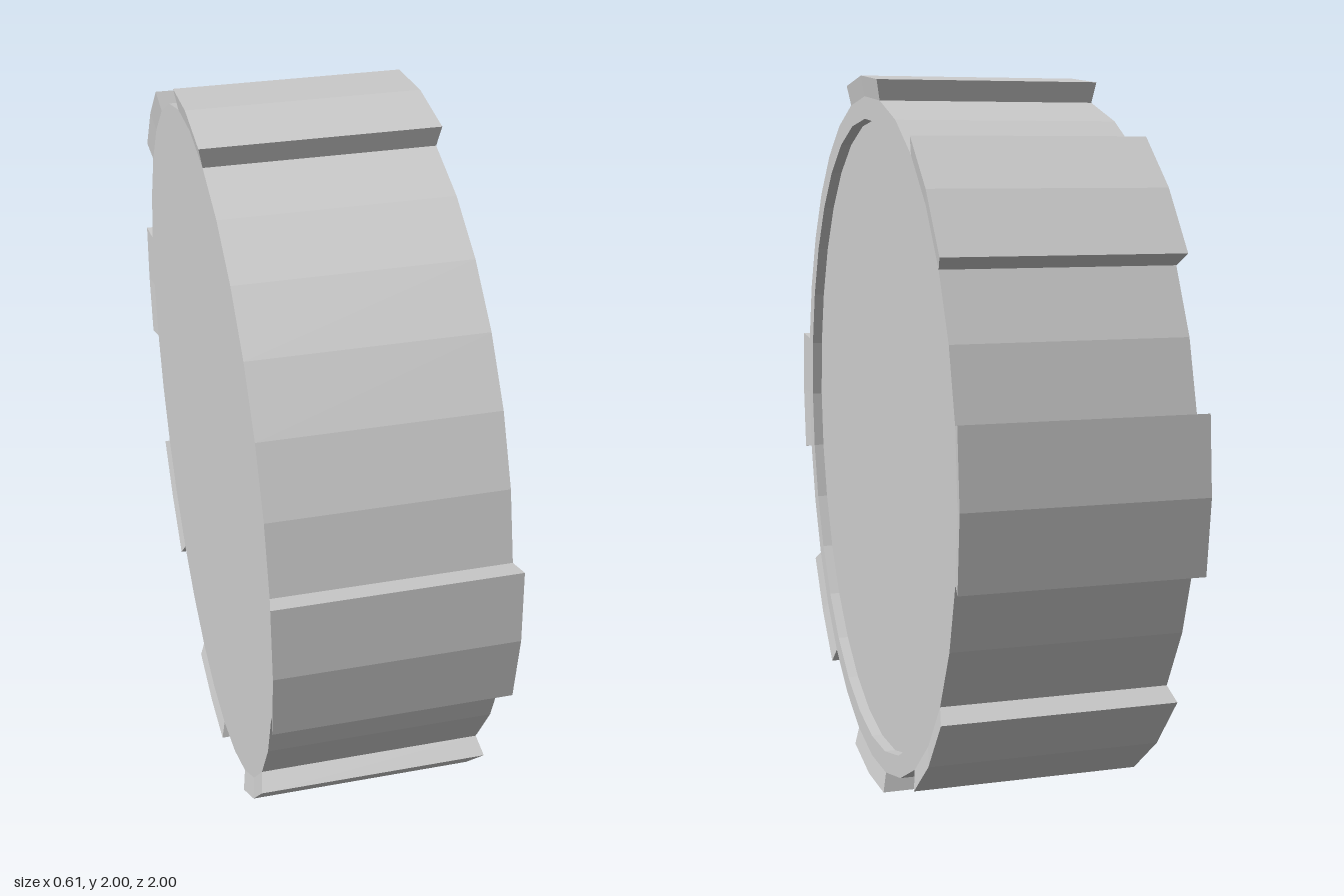
import * as THREE from 'three';

const SIDES = 32;
const WHEEL_R = 0.945, WHEEL_X = 0.294;
const PAD_R = 1.0, PAD_X = 0.304;
const RIM_R = 0.885, RECESS = 0.03;

function flat(geometry) {
  const g = geometry.toNonIndexed();
  g.computeVertexNormals();
  return g;
}

// Solid drum, axis along x, with a shallow dish on the +x face
function drumGeometry() {
  const profile = [
    [0, -WHEEL_X], [WHEEL_R, -WHEEL_X], [WHEEL_R, WHEEL_X],
    [RIM_R, WHEEL_X], [RIM_R, WHEEL_X - RECESS], [0, WHEEL_X - RECESS],
  ].map(([r, y]) => new THREE.Vector2(r, y));
  return flat(new THREE.LatheGeometry(profile, SIDES).rotateZ(-Math.PI / 2));
}

// Tread pad: a box bent over two drum facets, flaring slightly outward
function padGeometry() {
  const g = new THREE.BoxGeometry(2, 1, 2, 1, 1, 2);
  const p = g.attributes.position;
  for (let i = 0; i < p.count; i++) {
    const outer = p.getY(i) > 0;
    const r = outer ? PAD_R : WHEEL_R;
    const a = p.getZ(i) * (2 * Math.PI / SIDES);
    p.setXYZ(i, p.getX(i) * (outer ? PAD_X : WHEEL_X), r * Math.cos(a), r * Math.sin(a));
  }
  return flat(g);
}

export function createModel() {
  const model = new THREE.Group();
  model.name = 'wheel';
  const material = new THREE.MeshStandardMaterial({ color: 0xcccccc, flatShading: true });

  const drum = new THREE.Mesh(drumGeometry(), material);
  drum.name = 'drum';
  drum.position.y = 1;
  model.add(drum);

  // Seven pads, one every 45 degrees; the upper front slot is empty
  const pads = new THREE.Group();
  pads.name = 'treadPads';
  pads.position.y = 1;
  const padGeo = padGeometry();
  for (let k = 0; k < 8; k++) {
    if (k === 1) continue;
    const pad = new THREE.Mesh(padGeo, material);
    pad.name = 'treadPad' + k;
    pad.rotation.x = k * Math.PI / 4;
    pads.add(pad);
  }
  model.add(pads);
  return model;
}
